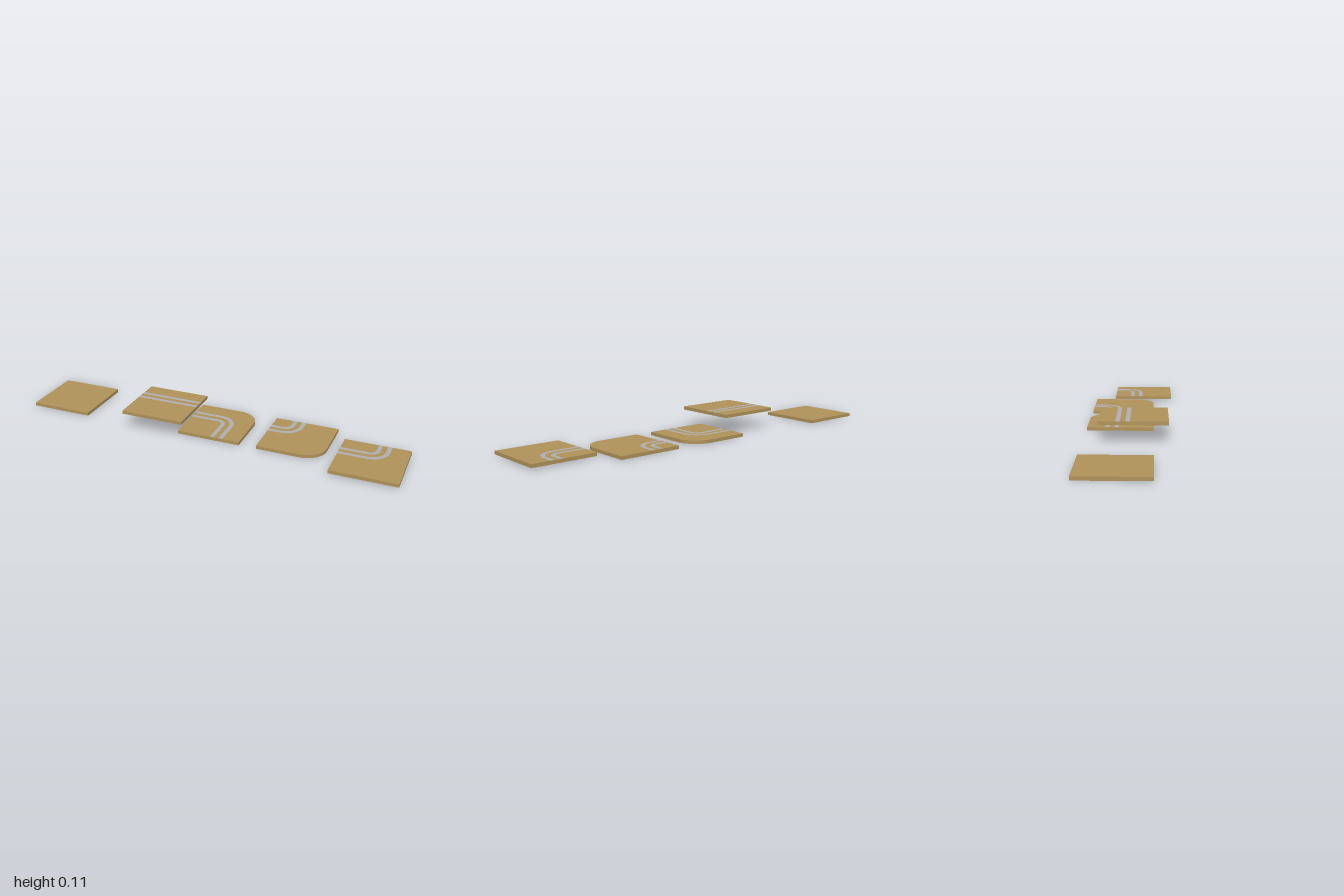
import * as THREE from 'three';
import { toCreasedNormals } from 'three/addons/utils/BufferGeometryUtils.js';

const SIZE = 0.33, THICK = 0.017, CORNER = 0.11;
const RAILS = [[0.03, 0.051], [0.076, 0.097]]; // inner and outer radius of each rail

const wood = new THREE.MeshStandardMaterial({ color: 0xb0935a });
const metal = new THREE.MeshStandardMaterial({ color: 0xb0b0b4 });

// Square tile with its back-left corner at the origin; corner: 1 rounds back right, -1 front right
function tileGeometry(corner) {
  const s = new THREE.Shape(), S = SIZE, R = CORNER;
  s.moveTo(0, -S);
  if (corner === -1) {
    s.lineTo(S - R, -S);
    s.absarc(S - R, -S + R, R, -Math.PI / 2, 0, false);
  } else s.lineTo(S, -S);
  if (corner === 1) {
    s.lineTo(S, -R);
    s.absarc(S - R, -R, R, 0, Math.PI / 2, false);
  } else s.lineTo(S, 0);
  s.lineTo(0, 0);
  const g = new THREE.ExtrudeGeometry(s, { depth: THICK, bevelEnabled: false, curveSegments: 16 });
  g.rotateX(-Math.PI / 2);
  return toCreasedNormals(g, 0.6);
}

// Quarter-turn rail around the origin with straight legs a (to the left) and b (along z)
function bendShape([r0, r1], a, b, s) {
  const p = new THREE.Shape(), q = s * Math.PI / 2;
  p.moveTo(-a, s * r1);
  p.lineTo(0, s * r1);
  p.absarc(0, 0, r1, q, 0, s > 0);
  p.lineTo(r1, -s * b);
  p.lineTo(r0, -s * b);
  p.lineTo(r0, 0);
  p.absarc(0, 0, r0, 0, q, s < 0);
  p.lineTo(-a, s * r0);
  return p;
}

// Straight rail across the whole tile
function straightShape([r0, r1]) {
  const p = new THREE.Shape();
  p.moveTo(0, r0);
  p.lineTo(SIZE, r0);
  p.lineTo(SIZE, r1);
  p.lineTo(0, r1);
  return p;
}

function makeTile(name, x, y, z, corner, railShape, railX = 0, railZ = 0) {
  const tile = new THREE.Group();
  tile.name = name;
  tile.position.set(x, y, z);
  const base = new THREE.Mesh(tileGeometry(corner), wood);
  base.name = 'base';
  tile.add(base);
  if (railShape) RAILS.forEach((radii, i) => {
    const g = new THREE.ShapeGeometry(railShape(radii), 16);
    g.rotateX(-Math.PI / 2);
    const rail = new THREE.Mesh(g, metal);
    rail.name = i ? 'outerRail' : 'innerRail';
    rail.position.set(railX, THICK + 0.0006, railZ);
    tile.add(rail);
  });
  return tile;
}

export function createModel() {
  const model = new THREE.Group();
  model.name = 'trackTiles';
  model.add(
    makeTile('plainTile', -1, 0, -0.22, 0),
    makeTile('straightTile', -0.418, 0.091, -0.15, 0, straightShape, 0, 0.18),
    makeTile('wideBendTile', -0.14, 0, -0.22, 1, r => bendShape(r, 0.145, 0.143, 1), 0.145, 0.187),
    makeTile('smallBendTile', 0.281, 0, -0.22, -1, r => bendShape(r, 0.063, 0.055, -1), 0.063, 0.055),
    makeTile('squareBendTile', 0.67, 0.008, -0.113, 0, r => bendShape(r, 0.14, 0.06, -1), 0.14, 0.06),
  );
  return model;
}
